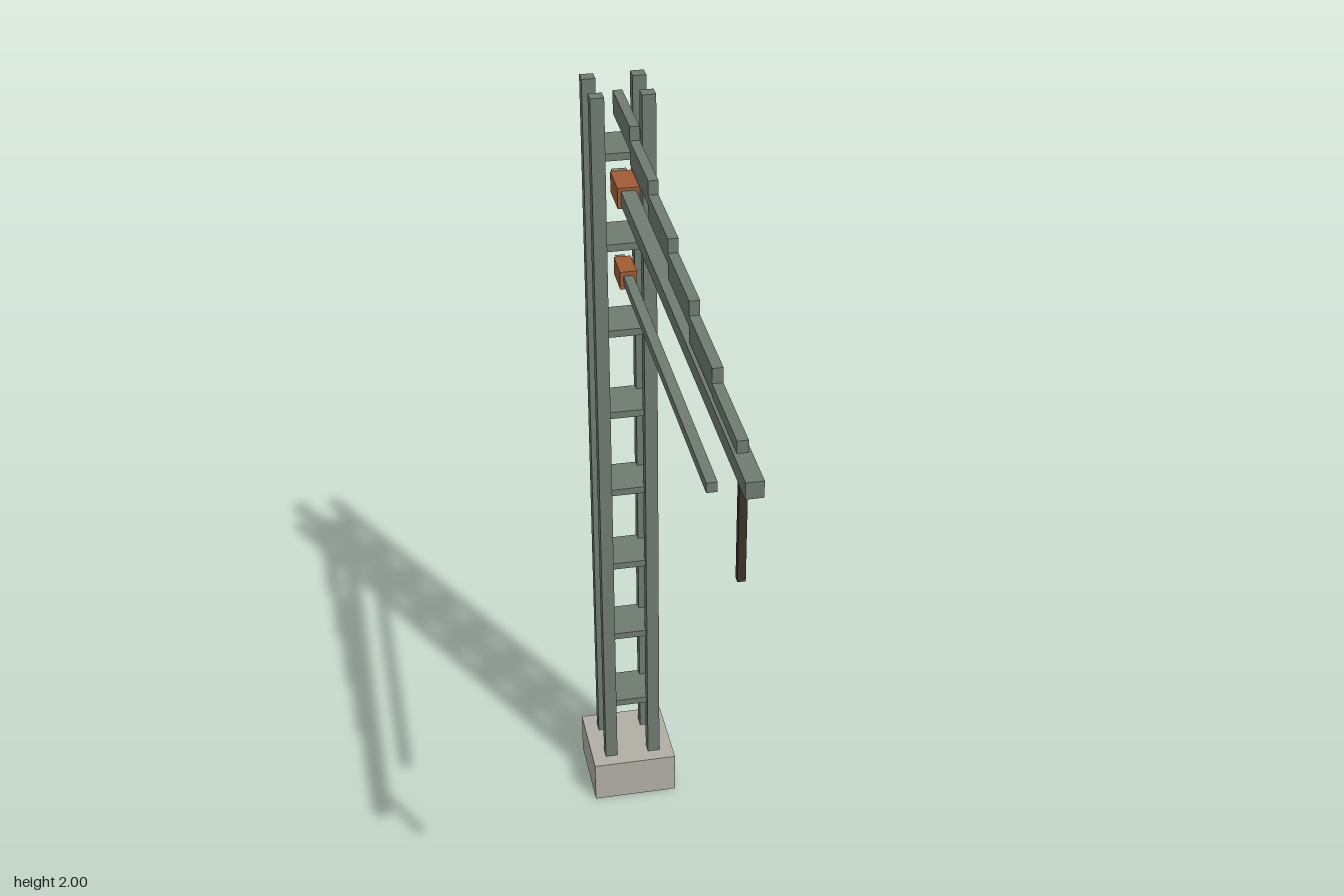
import * as THREE from 'three';

const mat = (name, color) => {
  const m = new THREE.MeshStandardMaterial({ color });
  m.name = name;
  return m;
};

export function createModel() {
  const steel = mat('grey green steel', 0x6f7a71);
  const concrete = mat('concrete', 0xb0aea4);
  const ceramic = mat('brown ceramic', 0xa05c35);
  const dark = mat('dark iron', 0x3a332b);

  const model = new THREE.Group();
  model.name = 'catenaryMast';
  const mastZ = -0.632;

  // Box given by its size and centre
  const box = (name, material, [w, h, d], [x, y, z]) => {
    const mesh = new THREE.Mesh(new THREE.BoxGeometry(w, h, d), material);
    mesh.name = name;
    mesh.position.set(x, y, z);
    model.add(mesh);
  };
  // Box on the centre plane that runs from z0 to z1
  const beam = (name, material, w, h, y, z0, z1) =>
    box(name, material, [w, h, z1 - z0], [0, y, (z0 + z1) / 2]);

  // Foundation block
  box('foundation', concrete, [0.222, 0.115, 0.222], [0, 0.0575, mastZ]);

  // Four corner posts
  for (const sx of [-1, 1]) {
    for (const sz of [-1, 1]) {
      box('cornerPost', steel, [0.032, 1.89, 0.032], [sx * 0.0585, 1.055, mastZ + sz * 0.0585]);
    }
  }

  // Tie plates up the mast
  for (let i = 0; i < 8; i++) {
    box('tiePlate', steel, [0.122, 0.018, 0.122], [0, 0.285 + i * 0.224, mastZ]);
  }

  // Main arm, lower arm and their insulators
  beam('mainArm', steel, 0.035, 0.035, 1.781, mastZ, 0.743);
  beam('lowerArm', steel, 0.023, 0.023, 1.569, mastZ, 0.393);
  beam('upperInsulator', ceramic, 0.05, 0.05, 1.781, -0.602, -0.506);
  beam('lowerInsulator', ceramic, 0.04, 0.044, 1.569, -0.602, -0.52);

  // Stepped stay descending from the mast to the arm tip
  const step = 0.2125;
  for (let i = 0; i < 6; i++) {
    const z = mastZ + i * step;
    beam('staySegment', steel, 0.022, 0.055, 1.959 - i * 0.0324, z, z + step);
  }

  // Hanger below the arm tip
  box('hanger', dark, [0.016, 0.25, 0.016], [0, 1.65, 0.65]);

  return model;
}
